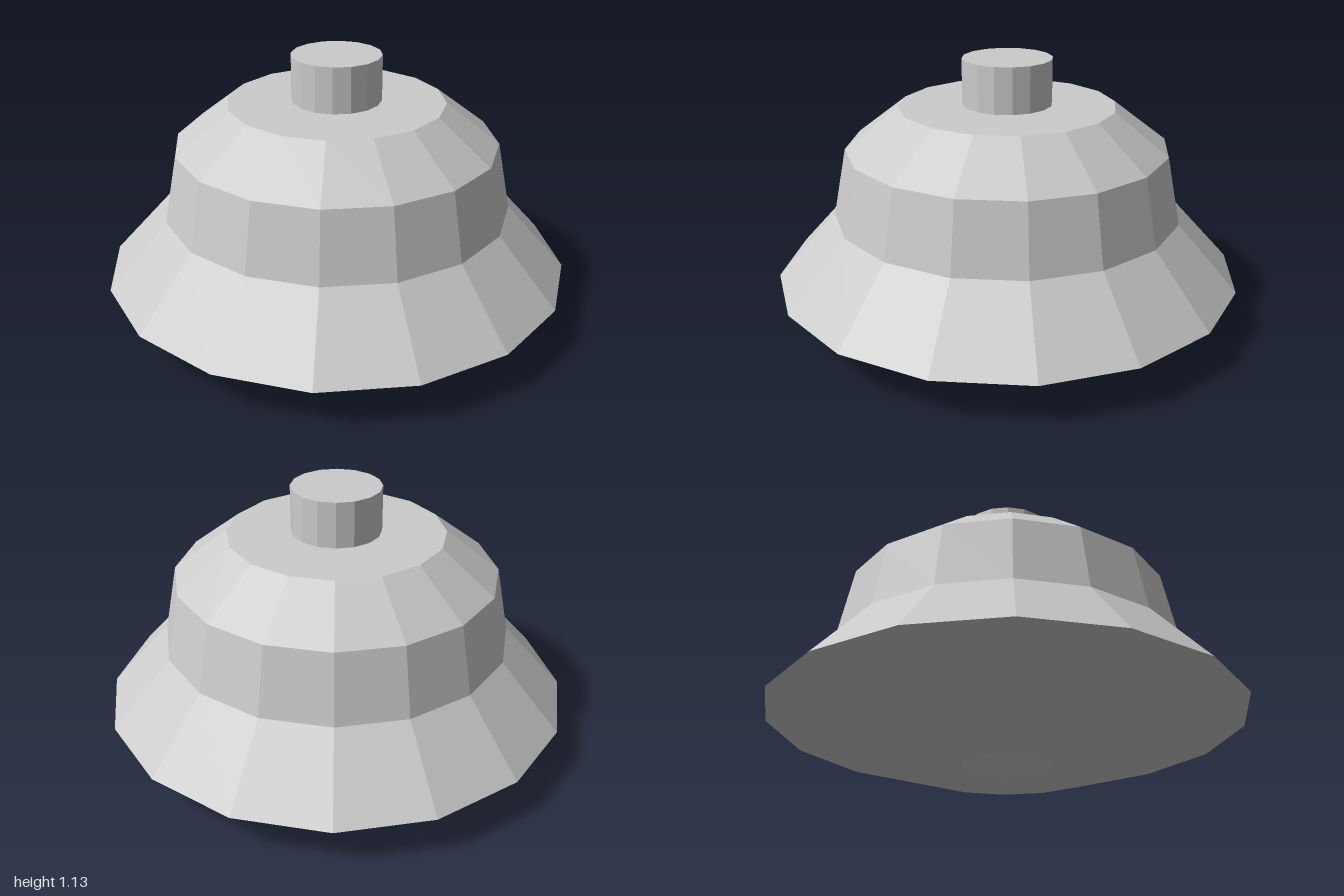
import * as THREE from 'three';

const SIDES = 16;

// Faceted turned part from a [radius, height] profile, listed bottom to top
function turned(name, profile, material) {
  const points = profile.map(([r, y]) => new THREE.Vector2(r, y));
  const mesh = new THREE.Mesh(new THREE.LatheGeometry(points, SIDES), material);
  mesh.name = name;
  return mesh;
}

export function createModel() {
  const group = new THREE.Group();
  group.name = 'flaredKnob';
  const grey = new THREE.MeshStandardMaterial({ color: 0xcccccc, flatShading: true });

  // Flared bell body with a conical dimple in its underside
  group.add(turned('body', [
    [0, 0.09], [0.19, 0], [0.46, 0.01],
    [1, 0.187], [0.745, 0.467], [0.687, 0.755],
    [0.46, 0.93], [0.19, 0.935], [0, 0.935],
  ], grey));

  // Short stem on top
  group.add(turned('stem', [[0.19, 0.92], [0.19, 1.13], [0, 1.13]], grey));

  return group;
}
